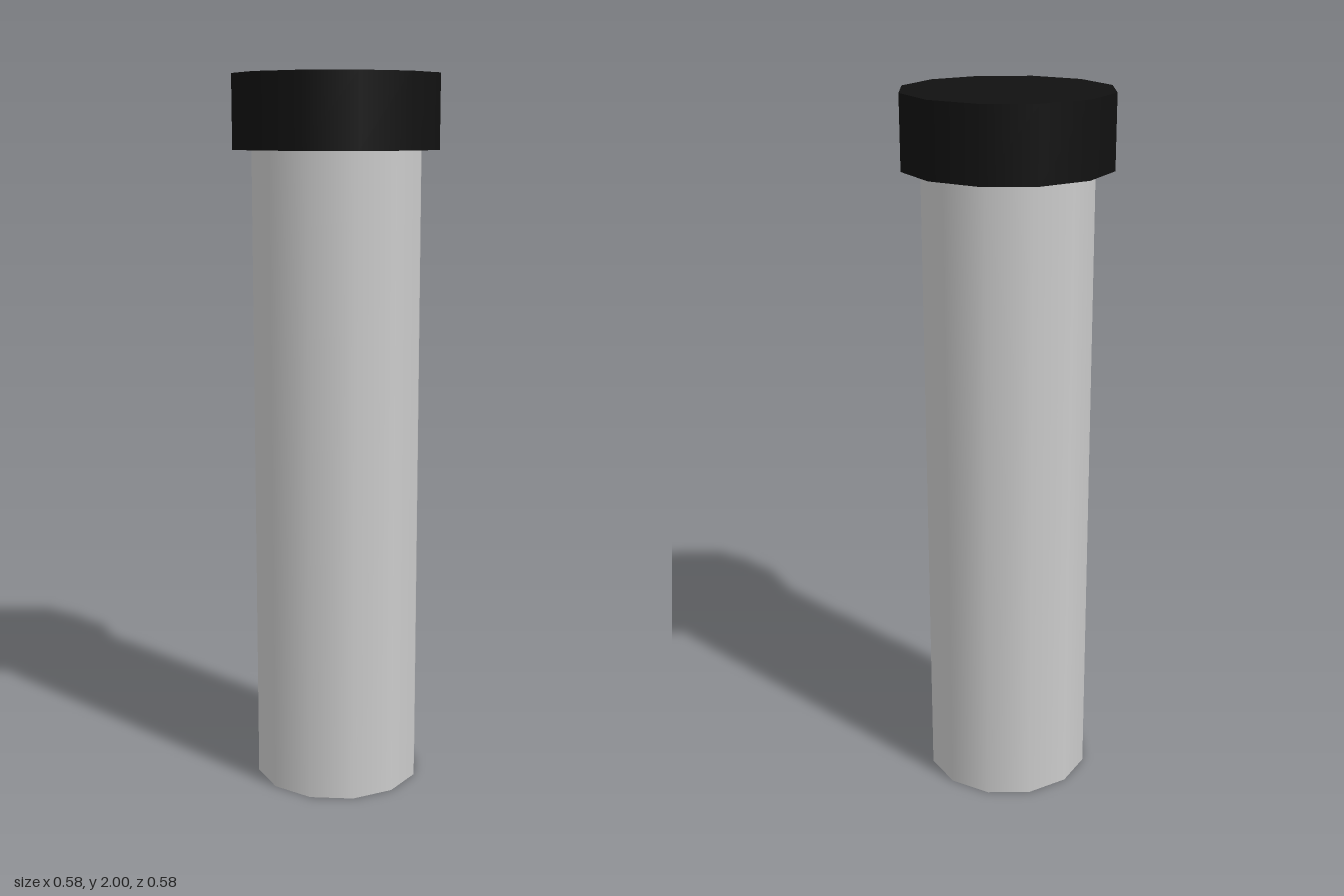
import * as THREE from 'three';

const SIDES = 12;

// Upright closed cylinder standing on the given base height
function addCylinder(group, name, radius, base, height, color) {
  const mesh = new THREE.Mesh(
    new THREE.CylinderGeometry(radius, radius, height, SIDES),
    new THREE.MeshStandardMaterial({ color })
  );
  mesh.name = name;
  mesh.position.y = base + height / 2;
  group.add(mesh);
}

export function createModel() {
  const group = new THREE.Group();
  group.name = 'cappedTube';

  // Long tube body
  addCylinder(group, 'body', 0.236, 0, 1.8, 0xcccccc);
  // Wider dark cap on top
  addCylinder(group, 'cap', 0.288, 1.8, 0.2, 0x111111);

  return group;
}
